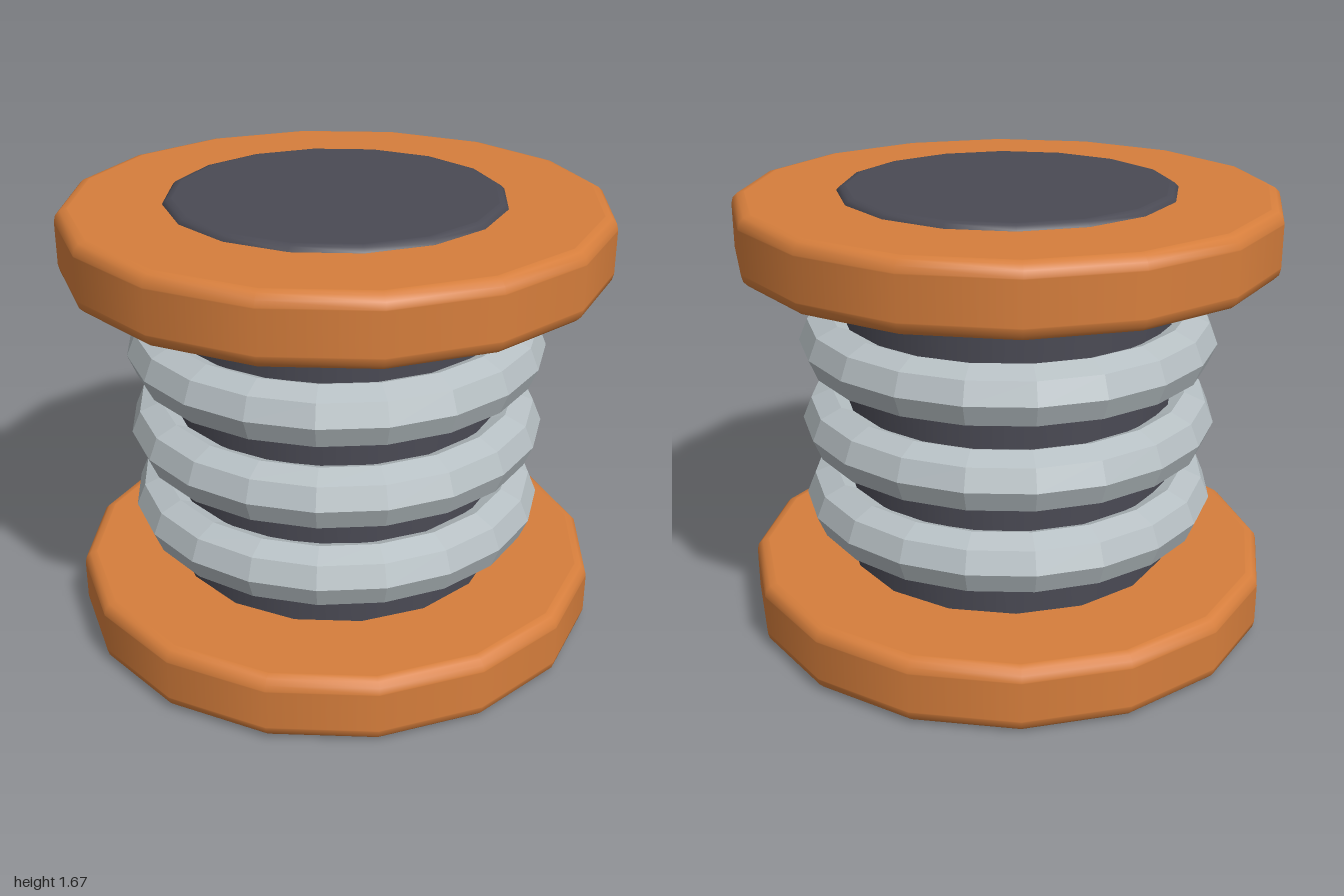
import * as THREE from 'three';

const orange = new THREE.MeshStandardMaterial({ color: 0xd67e3c });
orange.name = 'orange';
const charcoal = new THREE.MeshStandardMaterial({ color: 0x4a4a54 });
charcoal.name = 'charcoal';
const steel = new THREE.MeshStandardMaterial({ color: 0xb6bfc3, flatShading: true });
steel.name = 'steel';

// Sixteen-sided disc with rounded rims; inner is the radius where its caps begin
function bevelledDisc(inner, radius, y0, y1, bevel) {
  const e = 0.004; // support loops keep the flat areas flat
  const points = [[inner, y0], [radius - bevel - e, y0]];
  for (let i = 0; i <= 3; i++) {
    const a = (i / 3) * Math.PI / 2;
    points.push([radius - bevel + bevel * Math.sin(a), y0 + bevel - bevel * Math.cos(a)]);
  }
  points.push([radius, y0 + bevel + e], [radius, y1 - bevel - e]);
  for (let i = 0; i <= 3; i++) {
    const a = (i / 3) * Math.PI / 2;
    points.push([radius - bevel + bevel * Math.cos(a), y1 - bevel + bevel * Math.sin(a)]);
  }
  points.push([radius - bevel - e, y1], [inner, y1]);
  return new THREE.LatheGeometry(points.map(([x, y]) => new THREE.Vector2(x, y)), 16);
}

export function createModel() {
  const model = new THREE.Group();
  model.name = 'spool';
  const add = (name, geometry, material) => {
    const mesh = new THREE.Mesh(geometry, material);
    mesh.name = name;
    model.add(mesh);
    return mesh;
  };

  // Central core, showing through both flanges
  add('core', bevelledDisc(0, 0.625, 0, 1.67, 0.035), charcoal);

  // End flanges
  add('bottomFlange', bevelledDisc(0.5, 1, 0.003, 0.25, 0.045), orange);
  add('topFlange', bevelledDisc(0.5, 1, 1.4, 1.65, 0.045), orange);

  // Faceted coils around the core
  for (let i = 0; i < 3; i++) {
    const coil = new THREE.TorusGeometry(0.67, 0.112, 8, 20).rotateX(-Math.PI / 2);
    add('coil' + (i + 1), coil, steel).position.y = 0.485 + i * 0.31;
  }
  return model;
}
